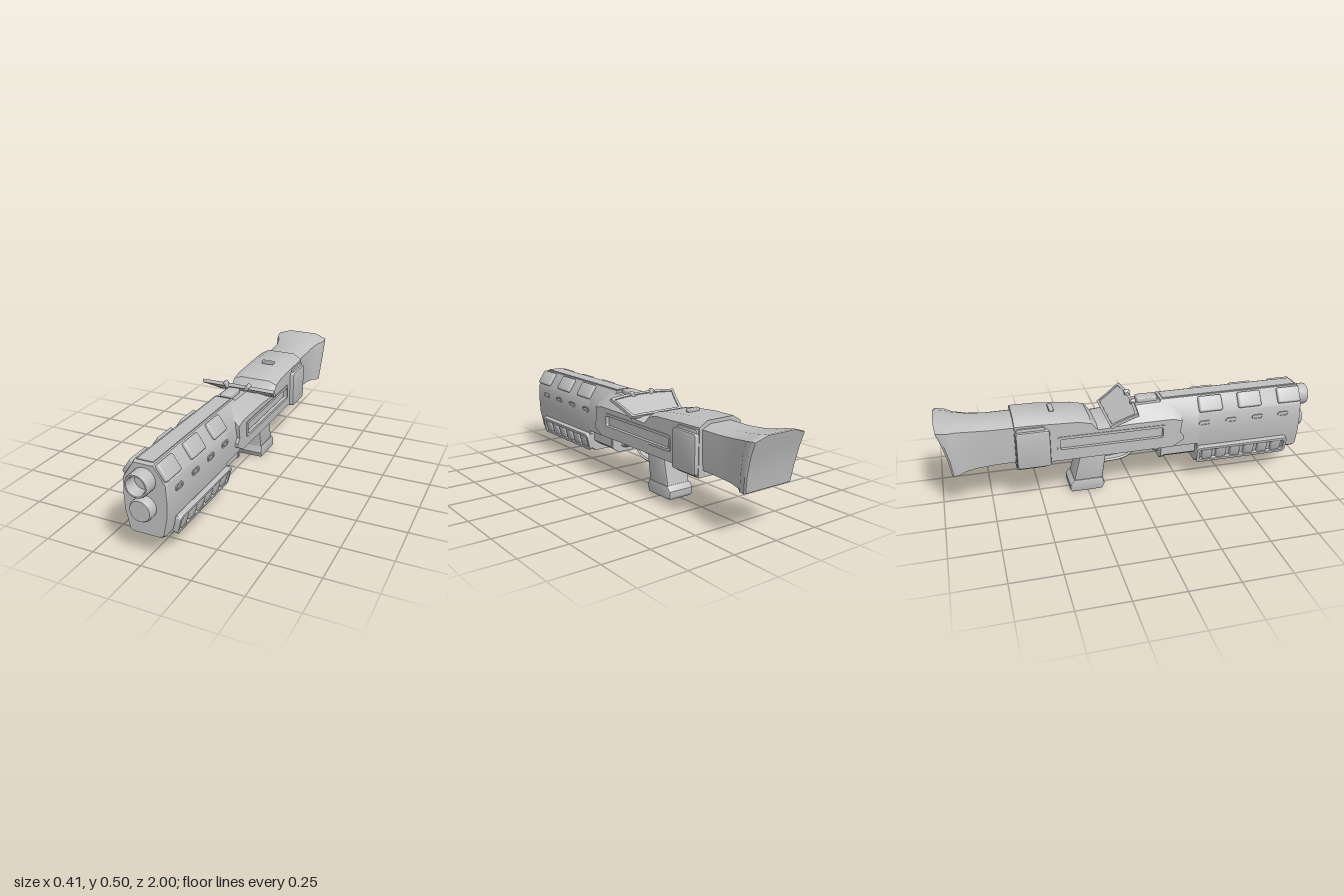
import * as THREE from 'three';
import { toCreasedNormals } from 'three/addons/utils/BufferGeometryUtils.js';
import { RoundedBoxGeometry } from 'three/addons/geometries/RoundedBoxGeometry.js';

export function createModel() {
  const model = new THREE.Group();
  const grey = new THREE.MeshStandardMaterial({ color: 0xc0c0c0 });
  grey.name = 'plain grey';

  const add = (name, geo) => {
    const mesh = new THREE.Mesh(toCreasedNormals(geo, 0.6), grey);
    mesh.name = name;
    model.add(mesh);
  };

  // Mirror across x = 0 and restore the winding
  const mirrored = (geo) => {
    const g = geo.index ? geo.toNonIndexed() : geo.clone();
    g.scale(-1, 1, 1);
    const p = g.attributes.position;
    const b = new THREE.Vector3(), c = new THREE.Vector3();
    for (let i = 0; i < p.count; i += 3) {
      b.fromBufferAttribute(p, i + 1);
      c.fromBufferAttribute(p, i + 2);
      p.setXYZ(i + 1, c.x, c.y, c.z);
      p.setXYZ(i + 2, b.x, b.y, b.z);
    }
    return g;
  };
  const addPair = (name, geo) => {
    add('left' + name, geo);
    add('right' + name, mirrored(geo));
  };

  // Half sections (bottom to top, x > 0, as [x, y, z]) mirrored and joined front to back
  const loft = (halves) => {
    const rings = halves.map((h) => [...h, ...[...h].reverse().map(([x, y, z]) => [-x, y, z])]);
    const n = rings[0].length, pos = [];
    const tri = (...v) => v.forEach((q) => pos.push(...q));
    for (let i = 0; i + 1 < rings.length; i++) {
      for (let j = 0; j < n; j++) {
        const k = (j + 1) % n, A = rings[i], B = rings[i + 1];
        tri(A[j], B[j], A[k]);
        tri(A[k], B[j], B[k]);
      }
    }
    // caps as strips between mirrored points
    const F = rings[0], R = rings[rings.length - 1];
    for (let j = 0; j < n / 2 - 1; j++) {
      const m = n - 1 - j;
      tri(F[j], F[j + 1], F[m - 1]);
      tri(F[j], F[m - 1], F[m]);
      tri(R[j], R[m - 1], R[j + 1]);
      tri(R[j], R[m], R[m - 1]);
    }
    const g = new THREE.BufferGeometry();
    g.setAttribute('position', new THREE.Float32BufferAttribute(pos, 3));
    g.computeVertexNormals();
    return g;
  };
  const section = (pts, z, s = 1, cy = 0.3) => pts.map(([x, y]) => [x * s, cy + (y - cy) * s, z]);

  const shapeOf = (pts) => new THREE.Shape(pts.map(([x, y]) => new THREE.Vector2(x, y)));
  const roundRect = (w, h, r, Type = THREE.Shape, cx = 0, cy = 0) => {
    const s = new Type();
    s.absarc(cx + w / 2 - r, cy + h / 2 - r, r, 0, Math.PI / 2);
    s.absarc(cx - w / 2 + r, cy + h / 2 - r, r, Math.PI / 2, Math.PI);
    s.absarc(cx - w / 2 + r, cy - h / 2 + r, r, Math.PI, Math.PI * 1.5);
    s.absarc(cx + w / 2 - r, cy - h / 2 + r, r, Math.PI * 1.5, Math.PI * 2);
    return s;
  };
  // Extrude a (z, y) profile across x, spanning x0..x1
  const across = (shape, x0, x1, bevel = 0) => {
    const g = new THREE.ExtrudeGeometry(shape, {
      depth: x1 - x0 - 2 * bevel, bevelEnabled: bevel > 0, bevelSize: bevel,
      bevelThickness: bevel, bevelOffset: -bevel, bevelSegments: 2, curveSegments: 4,
    });
    return g.rotateY(-Math.PI / 2).translate(x1 - bevel, 0, 0);
  };

  // Barrel housing: full depth at the front, shallower above the pump tube
  const upper = [[0.108, 0.22], [0.112, 0.3], [0.108, 0.388], [0.05, 0.475]];
  const full = [[0.07, 0.115], [0.088, 0.128], ...upper];
  add('barrelHousing', loft([section(full, 0.932, 0.96), section(full, 0.918), section(full, 0.345)]));
  add('rearHousing', loft([section(upper, 0.35), section(upper, 0.15)]));
  add('topRib', new THREE.BoxGeometry(0.08, 0.012, 0.75).translate(0, 0.473, 0.54));

  // Muzzle tube with a bore, and the tube below it
  const lathe = (pts, y) => new THREE.LatheGeometry(
    pts.map(([r, z]) => new THREE.Vector2(r, -z)), 24).rotateX(-Math.PI / 2).translate(0, y, 0);
  add('muzzle', lathe([[0, 0.94], [0.042, 0.94], [0.042, 0.985], [0.047, 1], [0.054, 1], [0.058, 0.99], [0.058, 0.91]], 0.394));
  add('lowerTube', lathe([[0, 0.98], [0.05, 0.98], [0.056, 0.97], [0.056, 0.91]], 0.263));

  // Pads on the sloping shoulders
  for (const z of [0.862, 0.635, 0.415]) {
    addPair('ShoulderPad', new RoundedBoxGeometry(0.085, 0.026, 0.13, 2, 0.01)
      .rotateZ(-0.983).translate(0.081, 0.435, z));
  }
  // Small vents along each side
  for (const z of [0.83, 0.68, 0.53, 0.38]) {
    const rim = roundRect(0.064, 0.028, 0.013);
    rim.holes.push(roundRect(0.046, 0.014, 0.0065, THREE.Path));
    addPair('Vent', across(rim, 0.105, 0.115).translate(0, 0.338, z));
  }

  // Pump: core, ribs and a frame on each slanting side
  const pump = [[0.075, 0.101], [0.094, 0.118], [0.114, 0.2]];
  add('pumpCore', loft([section(pump, 0.855), section(pump, 0.34)]));
  const slant = (g) => g.rotateZ(-0.25).translate(0.107, 0.155, 0);
  const frame = roundRect(0.52, 0.1, 0.02);
  frame.holes.push(roundRect(0.485, 0.066, 0.012, THREE.Path));
  addPair('PumpFrame', slant(across(frame, -0.012, 0.015, 0.003)).translate(0, 0, 0.6));
  for (let i = 0; i < 6; i++) {
    addPair('PumpRib', slant(new RoundedBoxGeometry(0.026, 0.068, 0.056, 2, 0.007))
      .translate(0, 0, 0.4 + i * 0.08));
  }
  // Tube running back from the pump
  const tube = [[0.045, 0.135], [0.08, 0.16], [0.08, 0.225]];
  add('pumpTube', loft([section(tube, 0.36), section(tube, 0.15)]));
  add('pumpTubeCap', loft([section(tube, 0.165, 1.06, 0.2), section(tube, 0.148, 1.06, 0.2)]));

  // Receiver: [z, bottom, shoulder, top, top half width]
  const stations = [
    [0.25, 0.26, 0.375, 0.42, 0.08], [0.2, 0.232, 0.39, 0.465, 0.055], [0, 0.232, 0.39, 0.46, 0.055],
    [-0.06, 0.232, 0.388, 0.432, 0.065], [-0.14, 0.232, 0.383, 0.4, 0.09], [-0.2, 0.232, 0.38, 0.395, 0.09],
    [-0.235, 0.232, 0.42, 0.438, 0.085], [-0.3, 0.232, 0.435, 0.455, 0.08], [-0.43, 0.23, 0.44, 0.468, 0.08],
    [-0.49, 0.206, 0.443, 0.473, 0.08], [-0.62, 0.206, 0.446, 0.475, 0.08],
  ];
  add('receiver', loft(stations.map(([z, b, s, t, w]) =>
    [[0.108, b, z], [0.108, s - 0.012, z], [0.127, s, z], [w, t, z]])));
  // Side plates with a long slot
  const plate = shapeOf([[0.2, 0.23], [0.26, 0.265], [0.26, 0.285], [0.24, 0.31],
    ...stations.map(([z, , s]) => [z, s]), [-0.62, 0.206], [-0.49, 0.206], [-0.43, 0.23]]);
  plate.holes.push(roundRect(0.55, 0.066, 0.01, THREE.Path, -0.125, 0.322));
  addPair('ReceiverPlate', across(plate, 0.1, 0.127));
  const slot = roundRect(0.57, 0.084, 0.014);
  slot.holes.push(roundRect(0.54, 0.056, 0.008, THREE.Path));
  addPair('SlotRim', across(slot, 0.112, 0.131).translate(0, 0.322, -0.125));
  // Rear side covers
  addPair('RearCover', across(roundRect(0.17, 0.2, 0.016), 0.11, 0.15, 0.008).translate(0, 0.318, -0.532));
  addPair('RearCoverBack', across(roundRect(0.145, 0.225, 0.012), 0.11, 0.136, 0.004).translate(0, 0.322, -0.54));

  // Fittings on top
  add('topBlock', new RoundedBoxGeometry(0.064, 0.035, 0.11, 2, 0.008).translate(0, 0.468, 0.085));
  add('topTab', new RoundedBoxGeometry(0.07, 0.02, 0.025, 2, 0.005).translate(0, 0.474, -0.42));

  // Tilted flared screen with a raised border
  const screenPath = (k, Type) => {
    const p = new Type();
    p.moveTo(-0.162 + k, k);
    p.lineTo(0.162 - k, k);
    p.quadraticCurveTo(0.172 - k, 0.07, 0.204 - k * 1.3, 0.152 - k);
    p.quadraticCurveTo(0, 0.184 - k, -0.204 + k * 1.3, 0.152 - k);
    p.quadraticCurveTo(-0.172 + k, 0.07, -0.162 + k, k);
    return p;
  };
  const border = screenPath(0, THREE.Shape);
  border.holes.push(screenPath(0.014, THREE.Path));
  const slab = (shape, depth) => new THREE.ExtrudeGeometry(shape, { depth, bevelEnabled: false });
  const tilt = (g) => g.rotateX(1.05).translate(0, 0.408, -0.145);
  add('screenBorder', tilt(slab(border, 0.018)));
  add('screenPanel', tilt(slab(screenPath(0.01, THREE.Shape), 0.01).translate(0, 0, 0.006)));
  addPair('ScreenClip', new RoundedBoxGeometry(0.022, 0.04, 0.03, 2, 0.008)
    .rotateZ(-0.6).translate(0.06, 0.482, -0.002));

  // Stock: [z top, z middle, z bottom, top, bottom, half width]
  add('stock', loft([
    [-0.6, -0.6, -0.6, 0.457, 0.24, 0.11], [-0.75, -0.74, -0.74, 0.457, 0.235, 0.108],
    [-0.84, -0.82, -0.81, 0.464, 0.232, 0.112], [-0.91, -0.88, -0.87, 0.475, 0.228, 0.126],
    [-0.945, -0.91, -0.9, 0.483, 0.224, 0.148], [-0.99, -0.94, -0.93, 0.491, 0.222, 0.153],
    [-1, -0.95, -0.938, 0.489, 0.227, 0.148],
  ].map(([zt, zm, zb, t, b, w]) => [
    [w * 0.92, b, zb], [w * 0.97, 0.31, zm], [w, 0.4, (zt + zm) / 2 + 0.004], [w, t - 0.022, zt + 0.006], [w * 0.55, t, zt],
  ])));

  // Pistol grip and its base
  add('grip', across(shapeOf([[-0.14, 0.25], [-0.285, 0.25], [-0.29, 0.2], [-0.325, 0.05], [-0.17, 0.05]]), -0.07, 0.07, 0.012));
  add('gripBase', across(shapeOf([[-0.168, 0.07], [-0.158, 0.03], [-0.172, 0], [-0.335, 0],
    [-0.345, 0.015], [-0.345, 0.045], [-0.322, 0.07]]), -0.076, 0.076, 0.01));

  // Trigger guard, front brace and trigger
  const rod = (name, pts, r, wide) => {
    const curve = new THREE.CatmullRomCurve3(pts.map(([z, y]) => new THREE.Vector3(0, y, z)));
    add(name, new THREE.TubeGeometry(curve, 24, r, 8).scale(wide, 1, 1));
  };
  rod('triggerGuard', [[0.05, 0.235], [0.025, 0.2], [-0.02, 0.155], [-0.07, 0.14], [-0.17, 0.136]], 0.011, 2.4);
  rod('guardBrace', [[0.17, 0.165], [0.13, 0.17], [0.1, 0.2], [0.05, 0.22]], 0.012, 2.4);
  rod('trigger', [[-0.06, 0.24], [-0.07, 0.205], [-0.055, 0.17]], 0.01, 1.2);

  return model;
}
